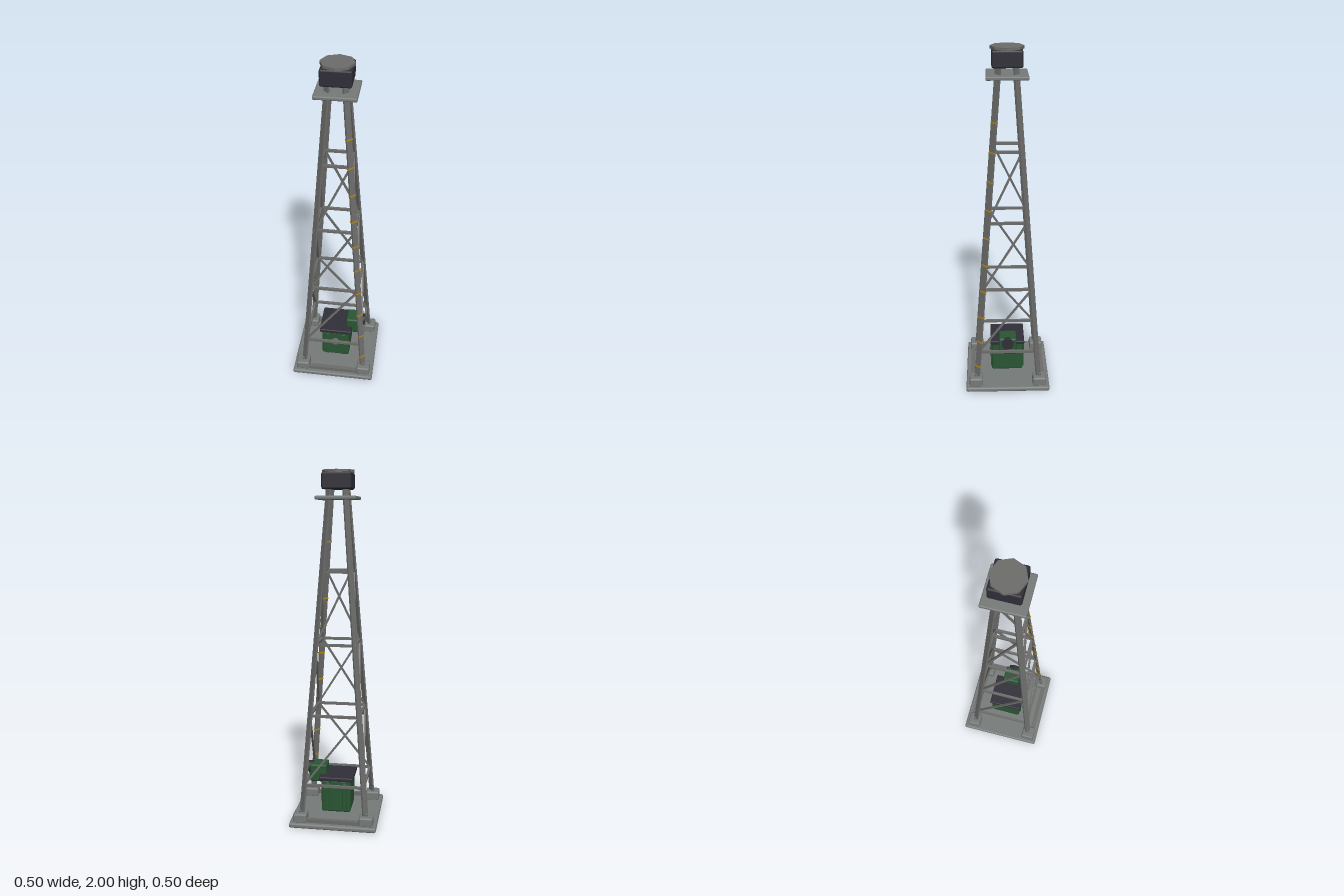
import * as THREE from 'three';
import { RoundedBoxGeometry } from 'three/addons/geometries/RoundedBoxGeometry.js';

const V = (x, y, z) => new THREE.Vector3(x, y, z);

export function createModel() {
  const root = new THREE.Group();
  root.name = 'tower';

  const material = (name, color) => {
    const m = new THREE.MeshStandardMaterial({ color });
    m.name = name;
    return m;
  };
  const concrete = material('concrete grey', 0x767a79);
  const steel = material('steel grey', 0x6c6d6b);
  const green = material('machine green', 0x2a5534);
  const dark = material('dark slate', 0x302f38);
  const yellow = material('rung yellow', 0xb8860b);

  const add = (name, geometry, mat, x = 0, y = 0, z = 0) => {
    const mesh = new THREE.Mesh(geometry, mat);
    mesh.name = name;
    mesh.position.set(x, y, z);
    root.add(mesh);
    return mesh;
  };
  const block = (name, mat, w, h, d, x, y, z, r = 0.006) =>
    add(name, new RoundedBoxGeometry(w, h, d, 2, r), mat, x, y, z);

  // Flat bar from a to b, its thickness facing the outward direction
  const bar = (name, mat, a, b, width, thick, outward) => {
    const along = b.clone().sub(a);
    const length = along.length();
    along.normalize();
    const side = along.clone().cross(outward).normalize();
    const normal = side.clone().cross(along);
    const mesh = add(name, new THREE.BoxGeometry(width, length, thick), mat);
    mesh.quaternion.setFromRotationMatrix(new THREE.Matrix4().makeBasis(side, along, normal));
    mesh.position.copy(a).add(b).multiplyScalar(0.5);
    return mesh;
  };

  // Half spacing of the legs at a given height
  const spread = (y) => 0.183 - (y - 0.08) * 0.0752;
  const corners = [[-1, 1], [1, 1], [1, -1], [-1, -1]];
  const legPoint = (i, y) => {
    const [sx, sz] = corners[i % 4];
    return V(sx * spread(y), y, sz * spread(y));
  };

  // Base slab and the two low sills between the footings
  block('baseSlab', concrete, 0.5, 0.028, 0.5, 0, 0.014, 0, 0.01);
  for (const s of [-1, 1]) {
    add('sill', new THREE.BoxGeometry(0.32, 0.024, 0.025), steel, 0, 0.038, s * 0.212);
  }

  // Footings, anchor bolts and flat leaning legs
  corners.forEach(([sx, sz], i) => {
    block('footing', concrete, 0.08, 0.055, 0.08, sx * 0.19, 0.05, sz * 0.19, 0.01);
    add('anchorBolt', new THREE.CylinderGeometry(0.01, 0.01, 0.02, 12), steel, sx * 0.19, 0.076, sz * 0.19);
    bar('leg', steel, legPoint(i, 0.06), legPoint(i, 1.91), 0.035, 0.011, V(sx, 0, sz));
  });

  // Horizontal rings, with one diagonal brace per face between them
  const levels = [0.235, 0.64, 1.045, 1.45];
  levels.forEach((y, k) => {
    for (let i = 0; i < 4; i++) {
      const outward = legPoint(i, y).add(legPoint(i + 1, y)).setY(0).normalize();
      bar('ringBeam', steel, legPoint(i, y), legPoint(i + 1, y), 0.015, 0.014, outward);
      if (k < 3) {
        bar('diagonalBrace', steel, legPoint(i, y), legPoint(i + 1, levels[k + 1]), 0.011, 0.011, outward);
      }
    }
  });

  // Climbing rungs on one front leg
  for (let k = 0; k < 10; k++) {
    const p = legPoint(1, 0.14 + k * 0.1633);
    const rung = add('rung', new THREE.BoxGeometry(0.039, 0.008, 0.017), yellow, p.x, p.y, p.z);
    rung.rotation.y = Math.PI / 4;
  }

  // Platform, housing and octagonal cap at the top
  block('platform', concrete, 0.225, 0.02, 0.225, 0, 1.85, 0, 0.006);
  block('topHousing', dark, 0.164, 0.09, 0.164, 0, 1.941, 0, 0.01);
  const capGeometry = new THREE.CylinderGeometry(0.09, 0.09, 0.016, 8).toNonIndexed();
  capGeometry.computeVertexNormals();
  add('topCap', capGeometry, steel, 0, 1.992, 0);

  // Machine cabinet with ribs, lid and round front gauge
  block('cabinet', green, 0.172, 0.195, 0.19, 0, 0.1425, 0, 0.012);
  for (const s of [-1, 1]) {
    for (const x of [-0.05, 0.05]) {
      block('cabinetRib', green, 0.024, 0.17, 0.012, x, 0.14, s * 0.096, 0.004);
    }
  }
  block('cabinetLid', dark, 0.2, 0.024, 0.205, 0, 0.247, 0, 0.006);
  const gauge = add('gauge', new THREE.CylinderGeometry(0.023, 0.023, 0.018, 20), steel, 0, 0.165, 0.1);
  gauge.rotation.x = Math.PI / 2;

  // Side motor with its dark end cover
  block('motor', green, 0.1, 0.105, 0.104, 0.112, 0.262, 0, 0.01);
  const cover = add('motorCover', new THREE.CylinderGeometry(0.035, 0.035, 0.03, 20), dark, 0.161, 0.285, 0);
  cover.rotation.z = Math.PI / 2;

  return root;
}
